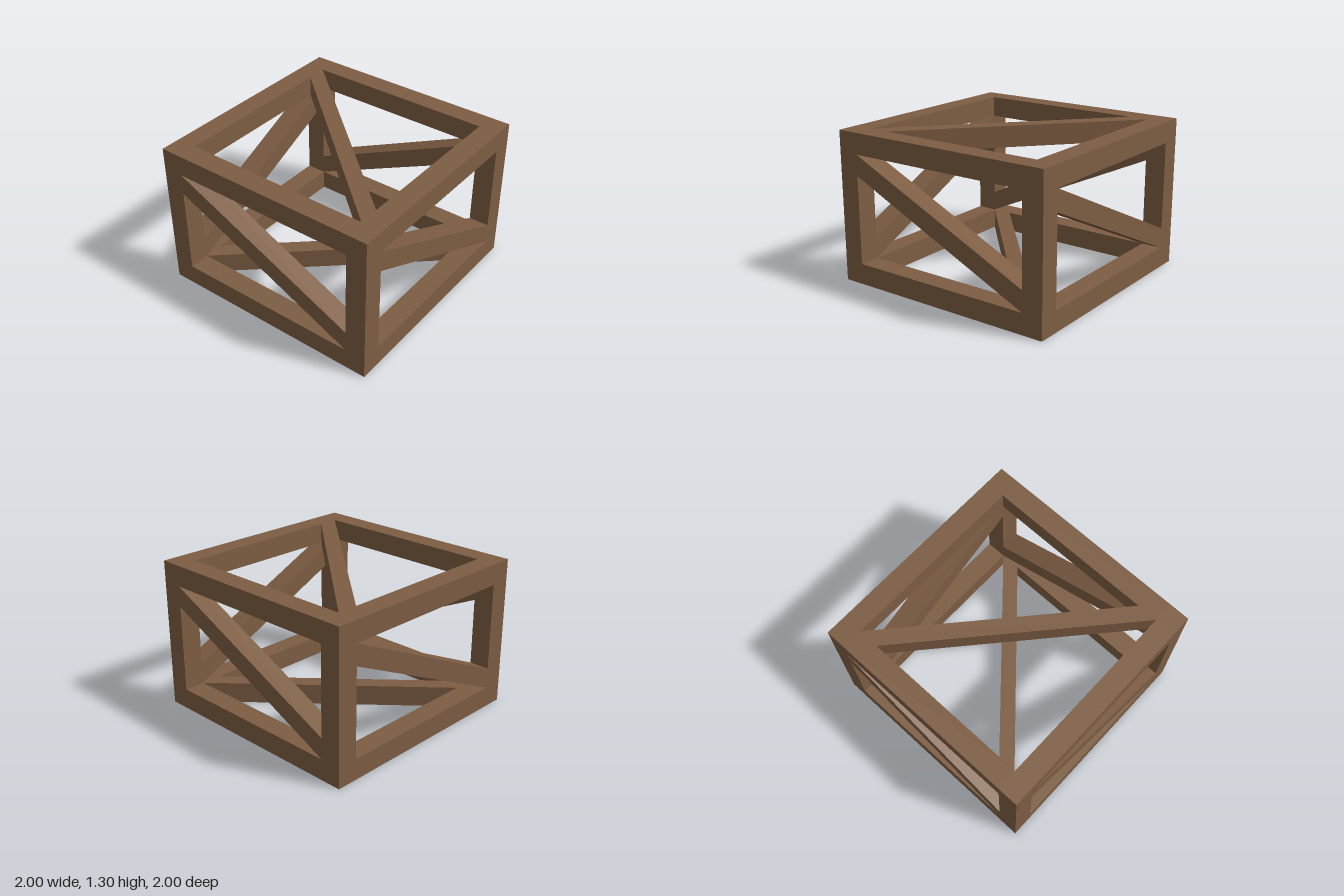
import * as THREE from 'three';

const H = 1.3;          // height of the frame
const T = 0.18;         // timber thickness
const IN = 1 - T;       // inner half width
const wood = new THREE.MeshStandardMaterial({ color: 0x7d5d43 });
wood.name = 'brown wood';

function add(parent, name, geometry, x = 0, y = 0, z = 0) {
  const mesh = new THREE.Mesh(geometry, wood);
  mesh.name = name;
  mesh.position.set(x, y, z);
  parent.add(mesh);
  return mesh;
}

// Flat brace with slanted ends, extruded to the timber thickness
function brace(points) {
  const shape = new THREE.Shape(points.map(([x, y]) => new THREE.Vector2(x, y)));
  return new THREE.ExtrudeGeometry(shape, { depth: T, bevelEnabled: false });
}

export function createModel() {
  const model = new THREE.Group();
  model.name = 'bracedCrateFrame';

  const post = new THREE.BoxGeometry(T, H, T);
  const rail = new THREE.BoxGeometry(2 * IN, T, T);
  const sideBrace = brace([[-IN, H - 2 * T], [IN, T], [IN, 2 * T], [-IN, H - T]]);
  const mid = 1 - T / 2;

  // Four identical sides, each a quarter turn from the last
  ['front', 'right', 'back', 'left'].forEach((name, i) => {
    const side = new THREE.Group();
    side.name = name + 'Side';
    side.rotation.y = i * Math.PI / 2;
    add(side, 'cornerPost', post, mid, H / 2, mid);
    add(side, 'bottomRail', rail, 0, T / 2, mid);
    add(side, 'topRail', rail, 0, H - T / 2, mid);
    add(side, 'sideBrace', sideBrace, 0, 0, IN);
    model.add(side);
  });

  // Level braces across the top and the bottom, on opposite diagonals
  for (const [name, s, y] of [['topBrace', 1, H - T], ['bottomBrace', -1, 0]]) {
    const geometry = brace([[-IN, -s * IN], [T - IN, -s * IN], [IN, s * IN], [IN - T, s * IN]]);
    geometry.rotateX(-Math.PI / 2);
    add(model, name, geometry, 0, y, 0);
  }
  return model;
}
